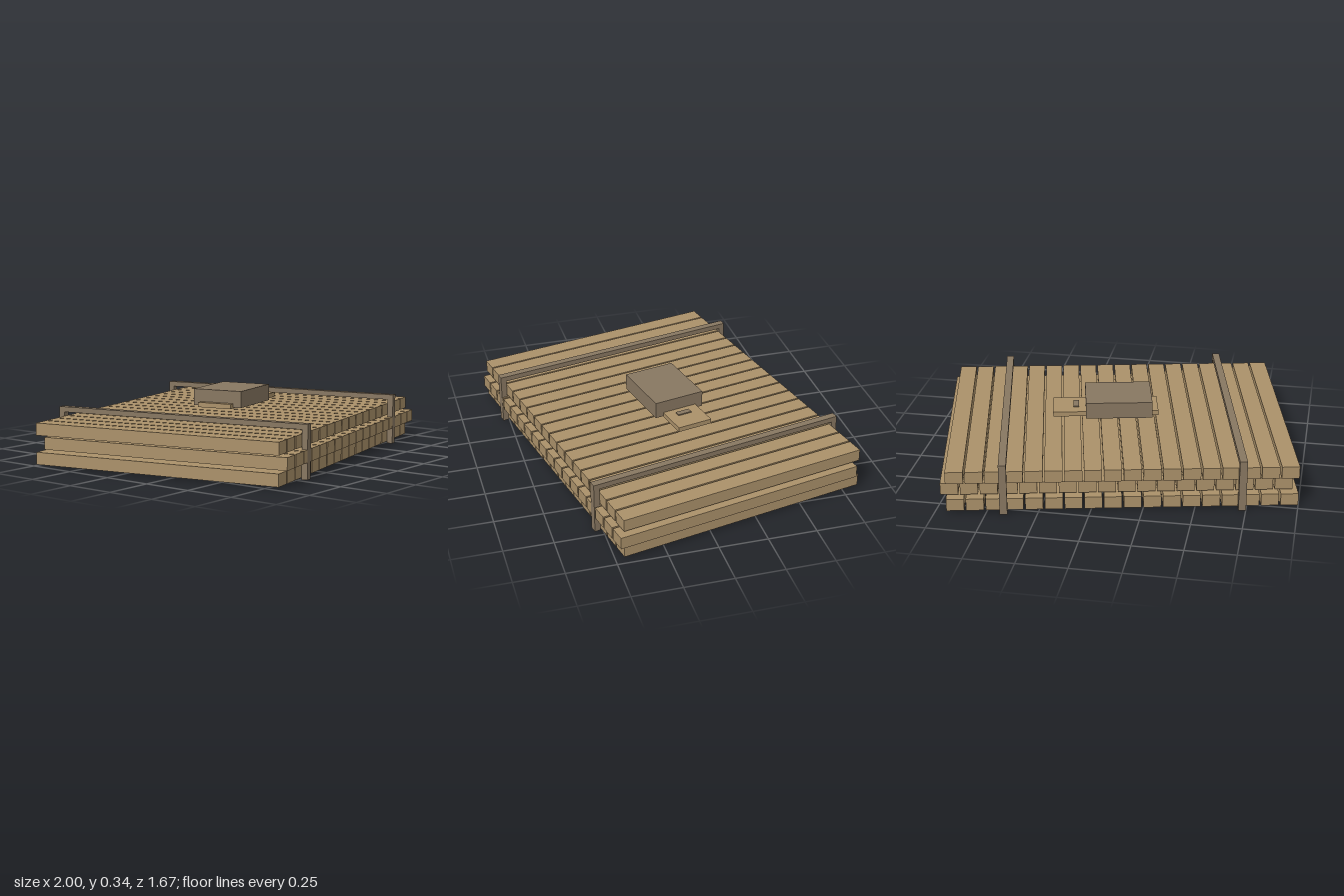
import * as THREE from 'three';

export function createModel() {
  const wood = new THREE.MeshStandardMaterial({ color: 0xab916a });
  wood.name = 'light wood';
  const darkWood = new THREE.MeshStandardMaterial({ color: 0x887761 });
  darkWood.name = 'grey brown wood';

  const model = new THREE.Group();
  model.name = 'plankStack';

  // the whole stack is turned a little about y
  const stack = new THREE.Group();
  stack.name = 'stack';
  stack.rotation.y = 0.2077;
  stack.position.set(-0.018, 0, -0.011);
  model.add(stack);

  // box given by its size, centre in x and z, and bottom height
  function box(parent, name, material, w, h, d, x, bottom, z) {
    const mesh = new THREE.Mesh(new THREE.BoxGeometry(w, h, d), material);
    mesh.name = name;
    mesh.position.set(x, bottom + h / 2, z);
    parent.add(mesh);
    return mesh;
  }

  // three layers of planks, the middle one shifted
  const COUNT = 18, PITCH = 0.0966, PLANK = 0.0875, LENGTH = 1.32;
  ['bottomLayer', 'middleLayer', 'topLayer'].forEach((name, i) => {
    const layer = new THREE.Group();
    layer.name = name;
    if (i === 1) layer.position.set(0.028, 0, 0.03);
    for (let k = 0; k < COUNT; k++) {
      const x = (k - (COUNT - 1) / 2) * PITCH;
      box(layer, 'plank', wood, PLANK, 0.062, LENGTH, x, 0.01 + i * 0.0735, 0);
    }
    stack.add(layer);
  });

  // two binding frames: a bar across the top with a leg at each end
  for (const side of [-1, 1]) {
    const frame = new THREE.Group();
    frame.name = side < 0 ? 'rightBinding' : 'leftBinding';
    frame.position.x = side * 0.585;
    box(frame, 'topBar', darkWood, 0.038, 0.027, 1.382, 0, 0.24, 0);
    for (const end of [-1, 1]) {
      box(frame, 'leg', darkWood, 0.038, 0.24, 0.03, 0, 0, end * 0.676);
    }
    stack.add(frame);
  }

  // block resting on a small board, with a raised tab on the board
  box(stack, 'board', wood, 0.547, 0.025, 0.187, 0.066, 0.25, -0.005);
  box(stack, 'block', darkWood, 0.343, 0.086, 0.272, -0.002, 0.254, -0.004);
  box(stack, 'tab', darkWood, 0.03, 0.006, 0.075, 0.219, 0.275, -0.003);

  return model;
}
